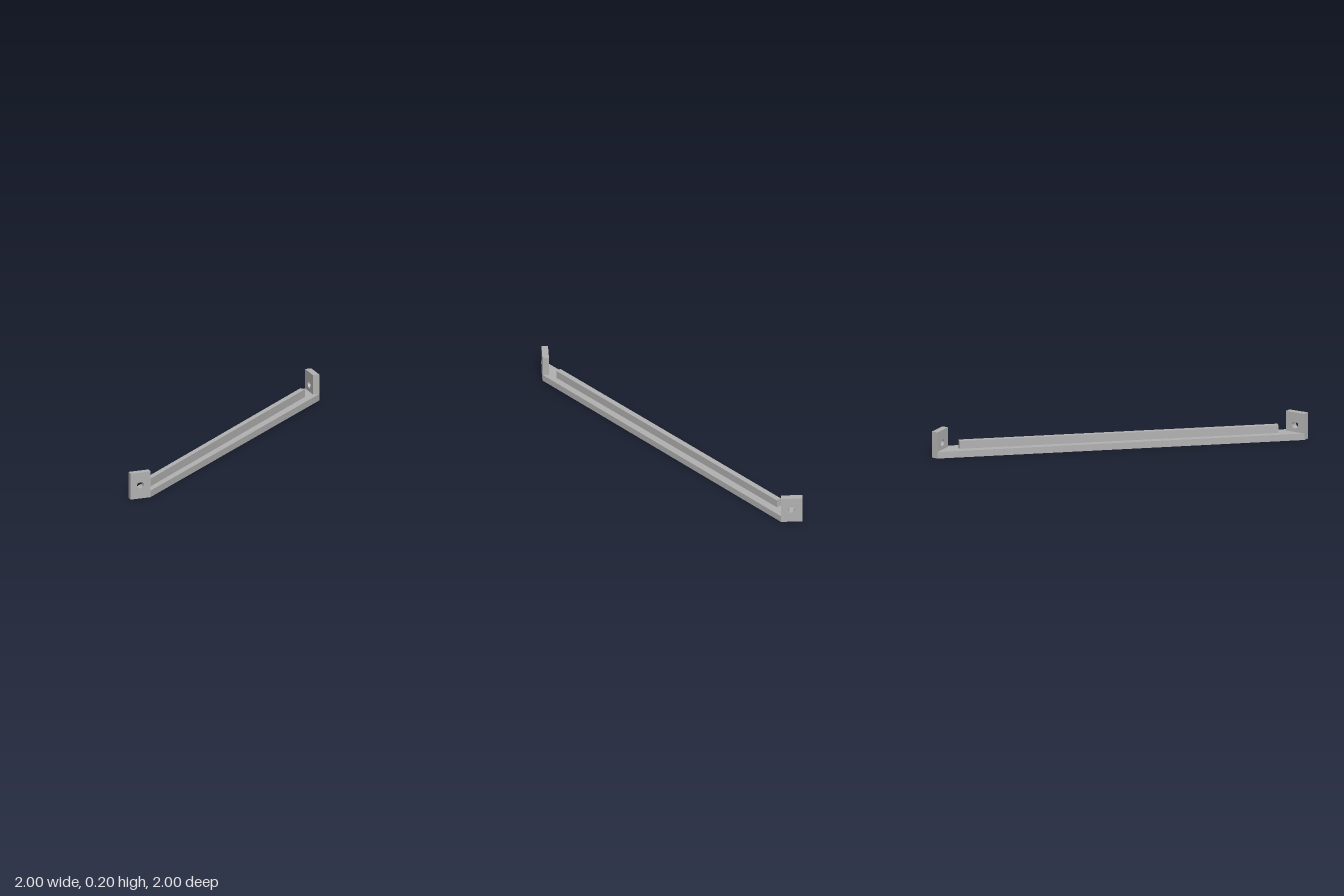
import * as THREE from 'three';

// Extrudes a plan outline of [x, z] points upward from y0 to y1
function slab(points, y0, y1) {
  const shape = new THREE.Shape(points.map(([x, z]) => new THREE.Vector2(x, -z)));
  const geometry = new THREE.ExtrudeGeometry(shape, { depth: y1 - y0, bevelEnabled: false });
  return geometry.rotateX(-Math.PI / 2).translate(0, y0, 0);
}

// Upright mounting tab with a teardrop screw hole
function tab(along, outward, origin) {
  const w = 0.157, h = 0.2, r = 0.026, cx = w / 2, cy = 0.104;
  const shape = new THREE.Shape([[0, 0], [w, 0], [w, h], [0, h]].map(p => new THREE.Vector2(...p)));
  const hole = new THREE.Path();
  hole.moveTo(cx, cy + r * Math.SQRT2);
  hole.absarc(cx, cy, r, Math.PI * 0.75, Math.PI * 2.25, false);
  hole.closePath();
  shape.holes.push(hole);
  const geometry = new THREE.ExtrudeGeometry(shape, { depth: 0.049, bevelEnabled: false, curveSegments: 16 });
  const basis = new THREE.Matrix4().makeBasis(along, new THREE.Vector3(0, 1, 0), outward);
  return geometry.applyMatrix4(basis.setPosition(origin));
}

export function createModel() {
  const group = new THREE.Group();
  const grey = new THREE.MeshStandardMaterial({ color: 0xb2b2b2 });
  grey.name = 'grey';
  const add = (name, geometry) => {
    const mesh = new THREE.Mesh(geometry, grey);
    mesh.name = name;
    group.add(mesh);
  };
  const v = (x, y, z) => new THREE.Vector3(x, y, z);

  // Diagonal base bar, notched around the two tabs
  add('baseBar', slab([[-1, 0.947], [0.936, -1], [0.951, -0.843], [1, -0.843], [-0.843, 0.983], [-0.843, 0.934]], 0, 0.05));

  // Narrow rib along the bar
  add('rib', slab([[-0.836, 0.85], [0.851, -0.837], [0.88, -0.808], [-0.807, 0.879]], 0.05, 0.11));

  // End tabs, slightly skewed to the bar ends
  add('frontTab', tab(v(1, 0, -0.085), v(0, 0, 1), v(-1, 0, 0.948)));
  add('backTab', tab(v(-0.096, 0, -1), v(1, 0, 0), v(0.951, 0, -0.843)));

  return group;
}
